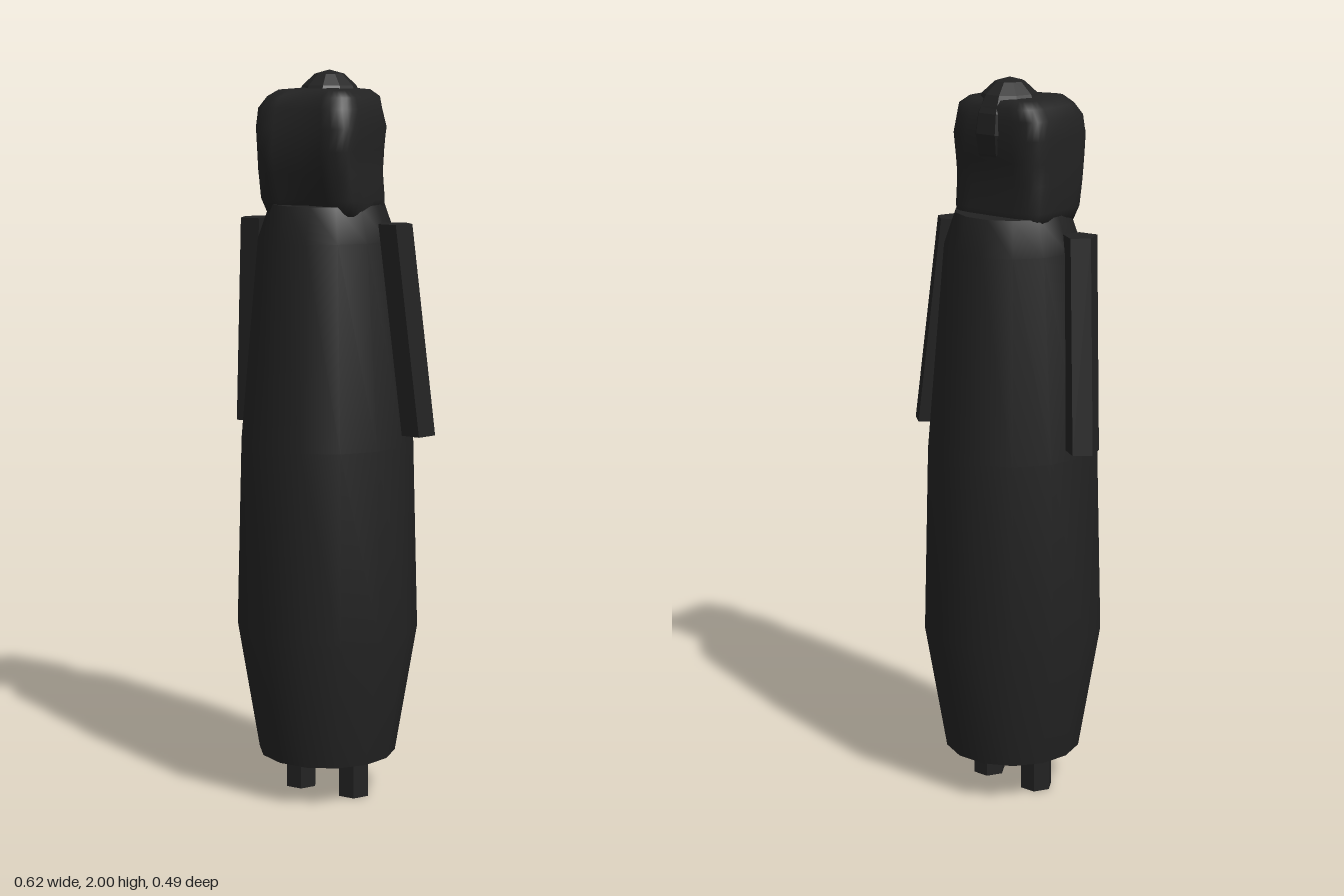
import * as THREE from 'three';

// Skin a stack of closed rings (bottom to top, each running anticlockwise seen from +y) and cap both ends
function loft(rings) {
  const n = rings[0].length, pos = rings.flat(2), index = [];
  for (let r = 0; r < rings.length - 1; r++) {
    for (let i = 0; i < n; i++) {
      const a = r * n + i, b = r * n + (i + 1) % n;
      index.push(a, b, b + n, a, b + n, a + n);
    }
  }
  const top = (rings.length - 1) * n;
  for (let i = 1; i < n - 1; i++) {
    index.push(0, i + 1, i);
    index.push(top, top + i, top + i + 1);
  }
  const g = new THREE.BufferGeometry();
  g.setAttribute('position', new THREE.Float32BufferAttribute(pos, 3));
  g.setIndex(index);
  return g;
}

function flat(geometry) {
  const g = geometry.index ? geometry.toNonIndexed() : geometry;
  g.computeVertexNormals();
  return g;
}

export function createModel() {
  const model = new THREE.Group();
  const cloth = new THREE.MeshStandardMaterial({ color: 0x222222 });
  cloth.name = 'charcoal';
  const add = (name, geometry) => {
    const mesh = new THREE.Mesh(geometry, cloth);
    mesh.name = name;
    model.add(mesh);
    return mesh;
  };

  // Long fourteen-sided robe with closed ends
  const profile = [[0.19, 0.12], [0.25, 0.48], [0.236, 1.0], [0.188, 1.55], [0.155, 1.645]]
    .map(([r, y]) => new THREE.Vector2(r, y));
  const sides = 14, turn = Math.PI / sides;
  add('robe', new THREE.LatheGeometry(profile, sides, turn));
  for (const [name, p, tilt] of [['robeHem', profile[0], 1], ['robeNeck', profile[4], -1]]) {
    const cap = new THREE.CircleGeometry(p.x, sides);
    cap.rotateX(tilt * Math.PI / 2);
    add(name, cap).position.y = p.y;
  }

  // Six-sided legs and tilted five-sided sleeves, mirrored
  const sleeve = [[0.26, 0], [0.22, -0.035], [0.168, 0], [0.185, 0.05], [0.24, 0.055]];
  for (const s of [1, -1]) {
    const side = s > 0 ? 'left' : 'right';
    const leg = flat(new THREE.CylinderGeometry(0.046, 0.046, 0.16, 6, 1, false, Math.PI / 2));
    add(side + 'Leg', leg).position.set(s * 0.085, 0.08, 0);

    const ring = (y, dx, dz) => {
      const pts = sleeve.map(([x, z]) => [s * (x + dx), y, z + dz]);
      return s > 0 ? pts : pts.reverse();
    };
    add(side + 'Arm', flat(loft([ring(1.03, 0.048, -0.048), ring(1.6, 0, 0)])));
  }

  // Rumpled square hood: y, centre x, half width, front z, back z
  const levels = [
    [1.62, 0, 0.145, 0.115, -0.095], [1.66, -0.003, 0.154, 0.125, -0.098],
    [1.73, -0.006, 0.152, 0.142, -0.094], [1.79, -0.007, 0.151, 0.155, -0.102],
    [1.85, -0.004, 0.155, 0.154, -0.108], [1.9, -0.008, 0.147, 0.143, -0.106],
    [1.93, -0.003, 0.133, 0.132, -0.1], [1.948, -0.001, 0.105, 0.115, -0.085],
    [1.953, 0, 0.05, 0.06, -0.05],
  ];
  const steps = 32;
  const square = v => Math.sign(v) * Math.pow(Math.abs(v), 0.45);
  const hood = levels.map(([y, cx, w, front, back], k) => {
    const cz = (front + back) / 2, d = (front - back) / 2;
    return Array.from({ length: steps }, (_, i) => {
      const a = i / steps * Math.PI * 2;
      const fold = 1 + 0.015 * Math.sin(5 * a + k * 1.7);
      const x = cx + w * square(Math.cos(a)) * fold;
      let z = cz - d * square(Math.sin(a)) * fold;
      // Shallow crease down the middle of the front
      if (z > cz) z -= 0.018 * Math.max(0, 1 - Math.abs(x) / 0.06);
      return [x, y, z];
    });
  });
  const hoodShape = loft(hood);
  hoodShape.computeVertexNormals();
  add('hood', hoodShape);

  // Faceted crown showing above and behind the hood
  const crown = new THREE.SphereGeometry(1, 10, 8);
  crown.scale(0.1, 0.14, 0.107);
  add('crown', flat(crown)).position.set(0, 1.86, -0.012);

  return model;
}
